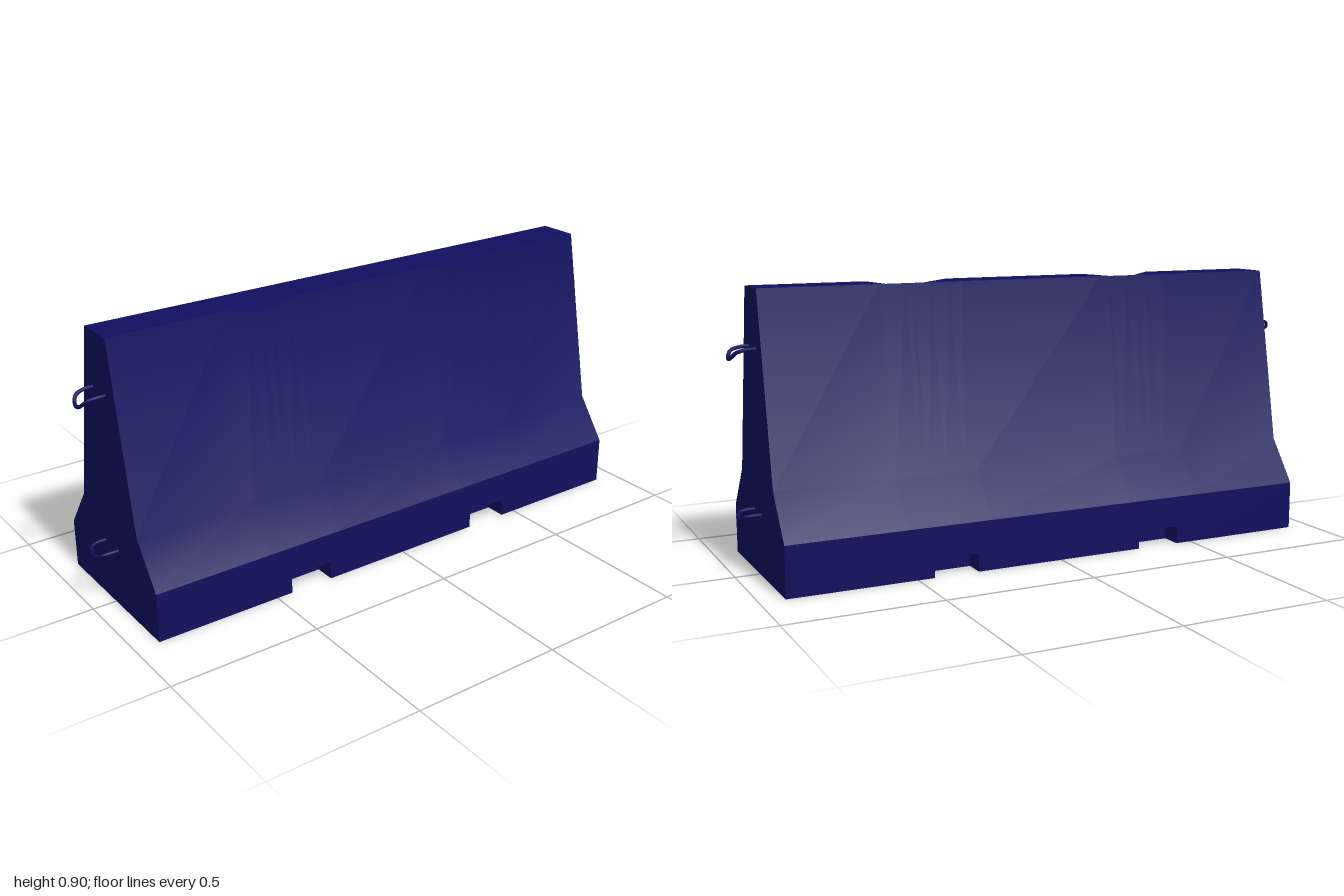
import * as THREE from 'three';
import { toCreasedNormals } from 'three/addons/utils/BufferGeometryUtils.js';

const HALF_LENGTH = 0.92;
const POCKET = { x: 0.37, half: 0.075, height: 0.06, depth: 0.07 };

// Stations along the length: [x, pocket height, chip depth on the front top edge]
const { x: px, half: ph, height: h } = POCKET;
const STATIONS = [
  [-HALF_LENGTH, 0, 0],
  [-0.52, 0, 0],
  [-px - ph, 0, 0.017], [-px - ph, h, 0.017],
  [-0.4, h, 0.023], [-0.36, h, 0.02],
  [-px + ph, h, 0.003], [-px + ph, 0, 0.003],
  [-0.26, 0, 0],
  [0.25, 0, 0],
  [px - ph, 0, 0.006], [px - ph, h, 0.006],
  [0.36, h, 0.015], [0.42, h, 0.016],
  [px + ph, h, 0.013], [px + ph, 0, 0.013],
  [0.53, 0, 0],
  [HALF_LENGTH, 0, 0],
];

// Cross-section, from the front foot over the top to the back foot
function section([x, pocket, chip]) {
  const side = (drop) => [
    [0.283 - POCKET.depth, 0],
    [0.283 - POCKET.depth, pocket],
    [0.283, pocket],
    [0.283, 0.163],
    [0.18, 0.305],
    [0.066 + drop * 0.19, 0.9 - drop],
  ];
  const front = side(chip);
  const back = side(0).reverse().map(([z, y]) => [-z, y]);
  return [...front, ...back].map(([z, y]) => new THREE.Vector3(x, y, z));
}

function barrierGeometry() {
  const positions = [];
  const triangle = new THREE.Triangle();
  const add = (a, b, c) => {
    if (triangle.set(a, b, c).getArea() < 1e-7) return;
    for (const p of [a, b, c]) positions.push(p.x, p.y, p.z);
  };
  const rings = STATIONS.map(section);
  const n = rings[0].length;

  // Skin between neighbouring sections
  for (let s = 0; s < rings.length - 1; s++) {
    const a = rings[s], b = rings[s + 1];
    for (let i = 0; i < n; i++) {
      const j = (i + 1) % n;
      add(a[i], b[i], b[j]);
      add(a[i], b[j], a[j]);
    }
  }

  // End faces
  const first = rings[0], last = rings[rings.length - 1];
  const c0 = new THREE.Vector3(-HALF_LENGTH, 0.1, 0);
  const c1 = new THREE.Vector3(HALF_LENGTH, 0.1, 0);
  for (let i = 0; i < n; i++) {
    const j = (i + 1) % n;
    add(c0, first[i], first[j]);
    add(c1, last[j], last[i]);
  }

  const geometry = new THREE.BufferGeometry();
  geometry.setAttribute('position', new THREE.Float32BufferAttribute(positions, 3));
  return toCreasedNormals(geometry, 0.5);
}

// Bent bar that leaves the end face, curls round and droops at its tip
function loopGeometry(side, y, reach, droop) {
  const half = [
    [0.9, 0, 0.042],
    [0.945, 0, 0.043],
    [0.945 + (reach - 0.945) * 0.65, 0.25, 0.036],
    [reach - 0.003, 0.8, 0.018],
  ];
  const points = [...half, [reach, 1, 0], ...half.slice().reverse().map(([x, d, z]) => [x, d, -z])];
  const curve = new THREE.CatmullRomCurve3(
    points.map(([x, d, z]) => new THREE.Vector3(side * x, y - d * droop, z)));
  return new THREE.TubeGeometry(curve, 40, 0.006, 8);
}

export function createModel() {
  const model = new THREE.Group();
  model.name = 'roadBarrier';
  const material = new THREE.MeshStandardMaterial({ color: 0x10105f });

  const body = new THREE.Mesh(barrierGeometry(), material);
  body.name = 'barrierBody';
  model.add(body);

  // Upper and lower connecting loops on both ends
  for (const [side, label] of [[1, 'left'], [-1, 'right']]) {
    const upper = new THREE.Mesh(loopGeometry(side, 0.715, 0.994, 0.031), material);
    upper.name = `${label}UpperLoop`;
    const lower = new THREE.Mesh(loopGeometry(side, 0.2, 0.982, 0.014), material);
    lower.name = `${label}LowerLoop`;
    model.add(upper, lower);
  }
  return model;
}
